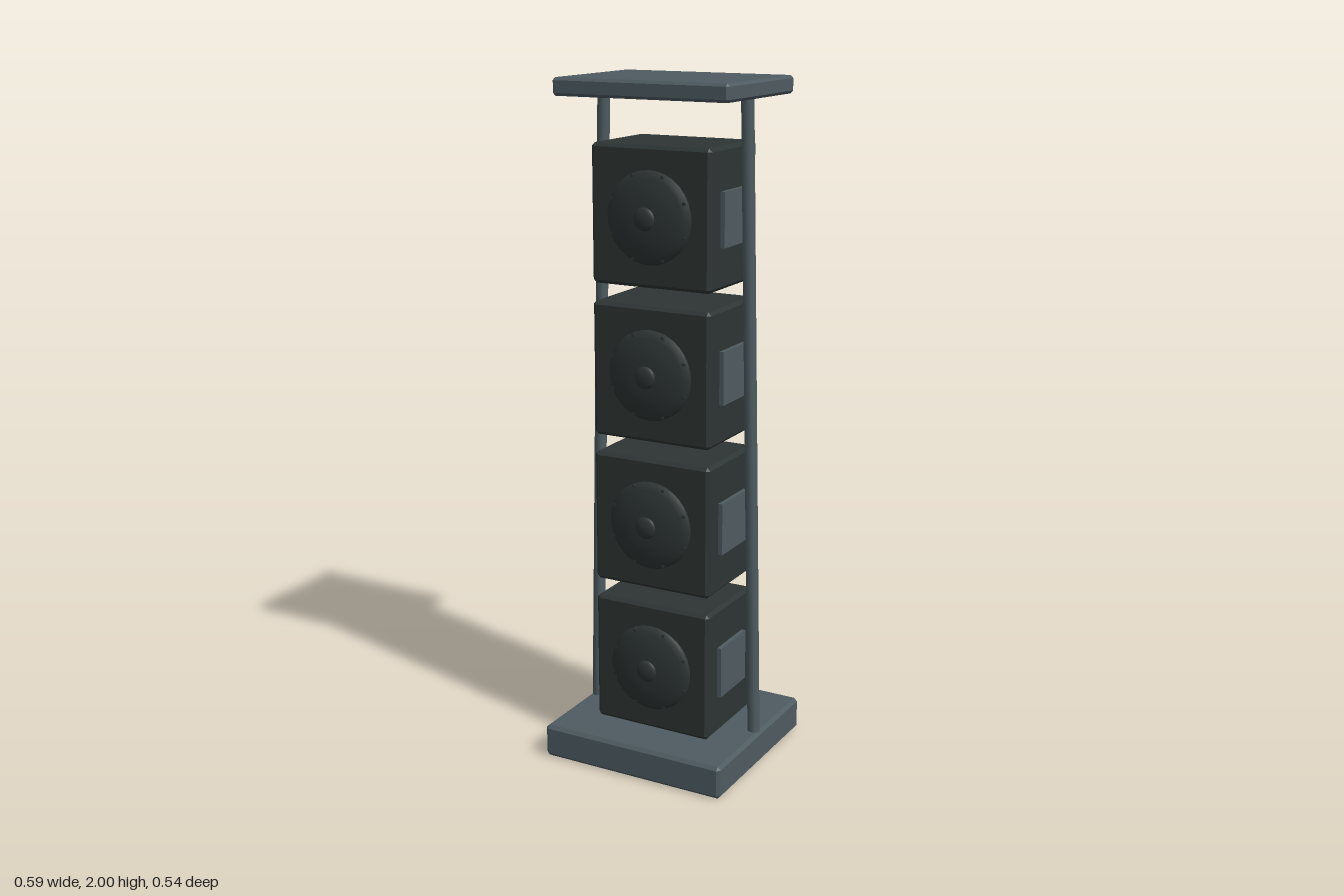
import * as THREE from 'three';
import { ConvexGeometry } from 'three/addons/geometries/ConvexGeometry.js';

// Box with a flat chamfer of width c along every edge
function chamferBox(w, h, d, c) {
  const points = [];
  for (const sx of [-1, 1]) for (const sy of [-1, 1]) for (const sz of [-1, 1]) {
    const x = sx * w / 2, y = sy * h / 2, z = sz * d / 2;
    points.push(
      new THREE.Vector3(x, y - sy * c, z - sz * c),
      new THREE.Vector3(x - sx * c, y, z - sz * c),
      new THREE.Vector3(x - sx * c, y - sy * c, z));
  }
  return new ConvexGeometry(points);
}

function addMesh(parent, name, geometry, material, x = 0, y = 0, z = 0) {
  const mesh = new THREE.Mesh(geometry, material);
  mesh.name = name;
  mesh.position.set(x, y, z);
  parent.add(mesh);
  return mesh;
}

export function createModel() {
  const model = new THREE.Group();
  model.name = 'speakerTower';

  const slate = new THREE.MeshStandardMaterial({ color: 0x4e5b61 });
  slate.name = 'slate grey';
  const charcoal = new THREE.MeshStandardMaterial({ color: 0x2d3534 });
  charcoal.name = 'charcoal';

  // Base and top plates
  addMesh(model, 'base', chamferBox(0.586, 0.1, 0.54, 0.01), slate, 0, 0.05, 0);
  addMesh(model, 'topPlate', chamferBox(0.54, 0.05, 0.404, 0.008), slate, 0, 1.975, 0);

  // Leaning side poles
  for (const side of [-1, 1]) {
    const foot = new THREE.Vector3(side * 0.27, 0.08, 0);
    const head = new THREE.Vector3(side * 0.225, 1.97, 0);
    const axis = head.clone().sub(foot);
    const pole = addMesh(model, side > 0 ? 'leftPole' : 'rightPole',
      new THREE.CylinderGeometry(0.018, 0.018, axis.length(), 12), slate);
    pole.position.copy(foot).add(head).multiplyScalar(0.5);
    pole.quaternion.setFromUnitVectors(new THREE.Vector3(0, 1, 0), axis.normalize());
  }

  // Shared speaker geometries
  const cabinet = chamferBox(0.374, 0.392, 0.28, 0.01);
  const sidePanel = new THREE.BoxGeometry(0.02, 0.154, 0.16);
  const profile = [[0.13, -0.005], [0.13, 0.006], [0.124, 0.013], [0.11, 0.019],
    [0.08, 0.026], [0.05, 0.03], [0, 0.031]].map(([r, h]) => new THREE.Vector2(r, h));
  const cone = new THREE.LatheGeometry(profile, 32).rotateX(Math.PI / 2);
  const cap = new THREE.SphereGeometry(0.033, 20, 8, 0, Math.PI * 2, 0, Math.PI / 2)
    .scale(1, 0.4, 1).rotateX(Math.PI / 2);
  const bolt = new THREE.CylinderGeometry(0.005, 0.005, 0.01, 8).rotateX(Math.PI / 2);
  // The lathe profile runs from rim to centre, so it faces outward
  cone.computeVertexNormals();

  // Four stacked speakers
  for (let i = 0; i < 4; i++) {
    const speaker = new THREE.Group();
    speaker.name = `speaker${i + 1}`;
    speaker.position.y = 0.299 + i * 0.443;
    model.add(speaker);
    addMesh(speaker, 'cabinet', cabinet, charcoal);
    addMesh(speaker, 'cone', cone, charcoal, 0, 0, 0.14);
    addMesh(speaker, 'dustCap', cap, charcoal, 0, 0, 0.169);
    for (const side of [-1, 1]) {
      addMesh(speaker, side > 0 ? 'leftPanel' : 'rightPanel', sidePanel, slate, side * 0.19, 0, 0);
    }
    // Bolts around the cone rim
    for (let k = 0; k < 8; k++) {
      const a = (k + 0.5) * Math.PI / 4;
      addMesh(speaker, 'rimBolt', bolt, charcoal, Math.cos(a) * 0.123, Math.sin(a) * 0.123, 0.151);
    }
  }
  return model;
}
